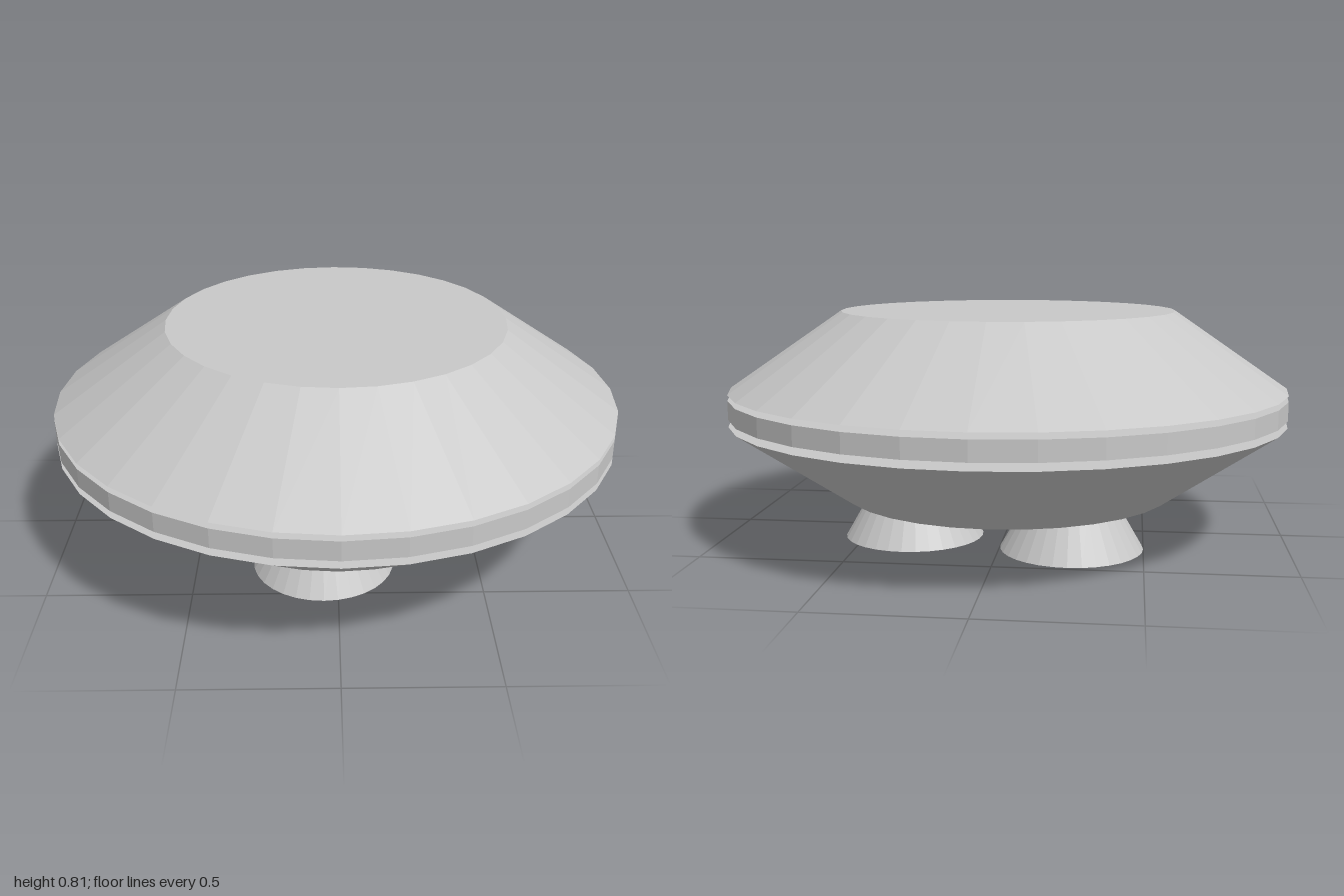
import * as THREE from 'three';

const SIDES = 32;

export function createModel() {
  const model = new THREE.Group();
  model.name = 'saucer';
  const hullGrey = new THREE.MeshStandardMaterial({ color: 0xc8c8c8, flatShading: true });
  hullGrey.name = 'hullGrey';

  // Closed frustum standing between two heights
  function frustum(name, rTop, rBottom, y0, y1, x = 0, z = 0) {
    const mesh = new THREE.Mesh(
      new THREE.CylinderGeometry(rTop, rBottom, y1 - y0, SIDES),
      hullGrey
    );
    mesh.name = name;
    mesh.position.set(x, (y0 + y1) / 2, z);
    model.add(mesh);
  }

  // Hull: two mirrored halves with a separate rim band floating between them
  frustum('upperHull', 0.6, 1, 0.54, 0.815);
  frustum('rimBand', 1, 1, 0.454, 0.52);
  frustum('lowerHull', 1, 0.6, 0.154, 0.429);

  // Three flared landing feet
  const feet = [[-0.05, 0.295], [0.33, -0.115], [-0.25, -0.235]];
  feet.forEach(([x, z], i) => frustum(`landingFoot${i + 1}`, 0.16, 0.25, 0, 0.156, x, z));

  return model;
}
